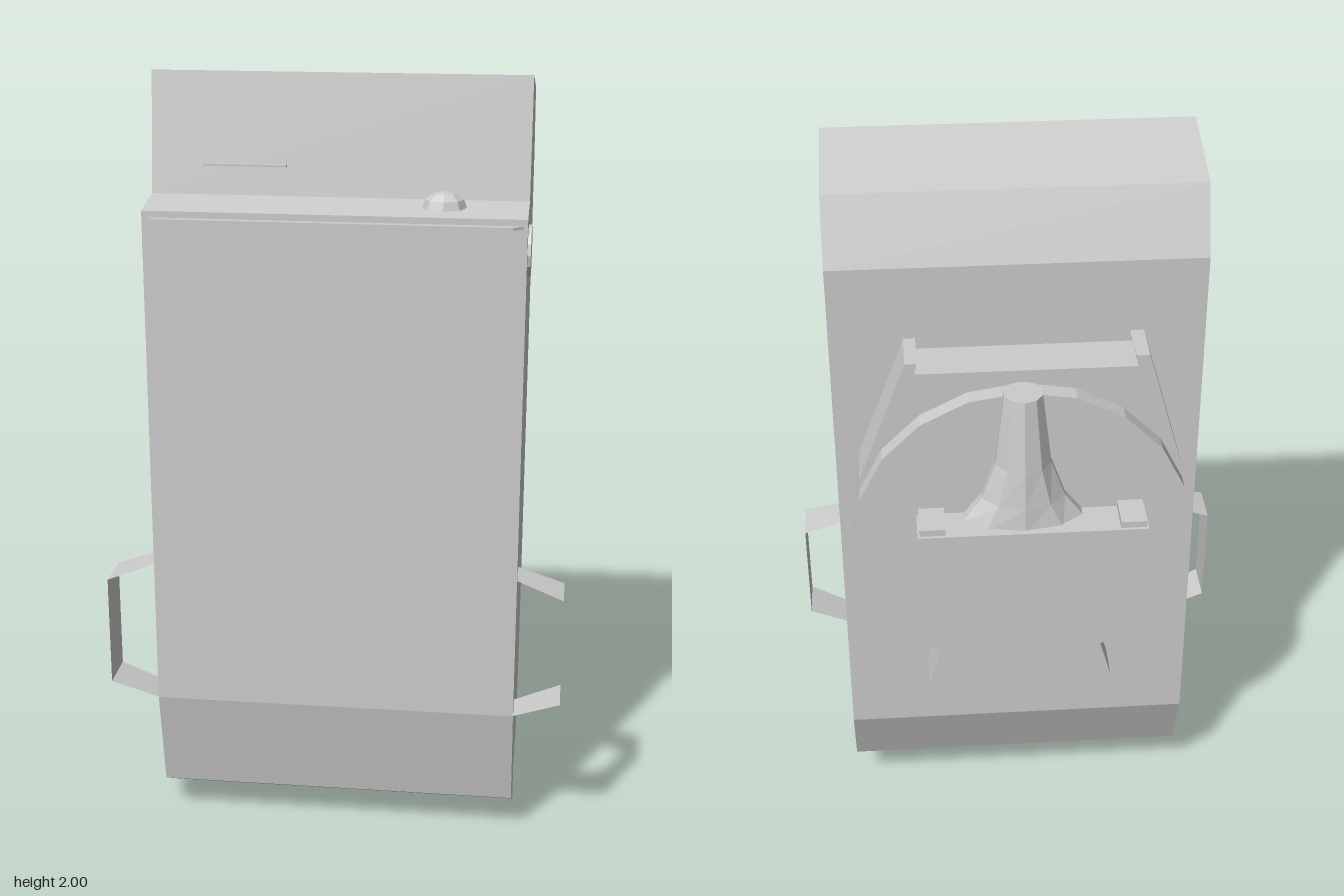
import * as THREE from 'three';

const mat = new THREE.MeshStandardMaterial({ color: 0xcccccc, flatShading: true });
const sheetMat = new THREE.MeshStandardMaterial({ color: 0xcccccc, flatShading: true, side: THREE.DoubleSide });

export function createModel() {
  const root = new THREE.Group();

  const add = (name, geo, x = 0, y = 0, z = 0, material = mat) => {
    const mesh = new THREE.Mesh(geo, material);
    mesh.name = name;
    mesh.position.set(x, y, z);
    root.add(mesh);
    return mesh;
  };
  const box = (name, x0, x1, y0, y1, z0, z1) =>
    add(name, new THREE.BoxGeometry(x1 - x0, y1 - y0, z1 - z0), (x0 + x1) / 2, (y0 + y1) / 2, (z0 + z1) / 2);
  const extrude = (points, depth) => new THREE.ExtrudeGeometry(
    new THREE.Shape(points.map(p => new THREE.Vector2(...p))), { depth, bevelEnabled: false });

  // Case: side profile in (z, y), extruded across the width
  const profile = [
    [0.2, 2], [-0.05, 1.94], [-0.115, 1.77], [-0.115, 0.32], [-0.04, 0.125], [0.135, 0.11],
    [0.135, 0], [0.31, 0.1], [0.365, 0.37], [0.365, 1.68], [0.24, 1.7],
  ];
  add('case', extrude(profile, 0.94).translate(0, 0, -0.47).rotateY(-Math.PI / 2));

  // Thin front lip with slanted ends, and the short fin above the shelf
  const lip = extrude([[-0.465, 0.36], [0.465, 0.36], [0.435, 0.385], [-0.435, 0.385]], 0.008);
  add('frontLip', lip.rotateX(Math.PI / 2), 0, 1.664, 0);
  box('slotFin', -0.34, -0.13, 1.772, 1.778, 0.22, 0.247);

  // Low dome button on the shelf
  const dome = new THREE.SphereGeometry(0.055, 8, 3, 0, Math.PI * 2, 0, Math.PI / 2).scale(1, 0.75, 0.9);
  add('shelfButton', dome, 0.265, 1.69, 0.29);

  // Side buttons and strap handles
  for (const s of [1, -1]) {
    const button = new THREE.CylinderGeometry(0.064, 0.064, 0.02, 14).rotateZ(Math.PI / 2);
    add('sideButton', button, s * 0.468, 1.585, 0.27);

    const path = [[0.47, 0.75, 0.362], [0.59, 0.71, 0.385], [0.59, 0.42, 0.385], [0.47, 0.37, 0.362]];
    const verts = path.flatMap(([x, y, z]) => [s * x, y, 0.265, s * x, y, z]);
    const index = [];
    for (let i = 0; i < 6; i += 2) {
      const quad = [i, i + 1, i + 2, i + 1, i + 3, i + 2];
      index.push(...(s > 0 ? quad : quad.reverse()));
    }
    const strap = new THREE.BufferGeometry();
    strap.setAttribute('position', new THREE.Float32BufferAttribute(verts, 3));
    strap.setIndex(index);
    strap.computeVertexNormals();
    add('sideHandle', strap, 0, 0, 0, sheetMat);
  }

  // Back drum
  const drum = new THREE.CylinderGeometry(0.432, 0.432, 0.17, 20).rotateX(Math.PI / 2);
  add('backDrum', drum, 0, 1.078, -0.2);

  // Bracket above the drum, flaring down to its sides, with raised corner ribs
  const bracket = [
    [-0.43, 1.12], [0.43, 1.12], [0.41, 1.24], [0.285, 1.575], [0.255, 1.575], [0.262, 1.545],
    [-0.287, 1.545], [-0.28, 1.575], [-0.315, 1.575], [-0.41, 1.24],
  ];
  add('upperBracket', extrude(bracket, 0.125), 0, 0, -0.238);

  // Curved block below the drum
  const block = [
    [-0.2, 0.72], [-0.25, 0.54], [-0.13, 0.514], [0, 0.505], [0.13, 0.514], [0.25, 0.54], [0.2, 0.72],
  ];
  add('lowerBracket', extrude(block, 0.107), 0, 0, -0.22);

  // Round lug on the lower side of the drum, pointing outwards
  const lug = new THREE.CylinderGeometry(0.082, 0.082, 0.16, 14);
  add('drumLug', lug, 0.295, 0.835, -0.118).rotation.z = -2.26;

  // Turning handle: stepped crossbar with end pads
  box('handleBar', -0.29, 0.25, 1.06, 1.125, -0.37, -0.28);
  box('handlePlate', -0.31, 0.27, 1.125, 1.16, -0.388, -0.28);
  box('handlePad', -0.305, -0.24, 1.16, 1.178, -0.38, -0.28);
  box('handlePad', 0.2, 0.265, 1.16, 1.178, -0.38, -0.28);

  // Stem: rows of (height, half width, half depth) from top to base
  const rows = [[1.512, 0.05, 0.05], [1.32, 0.073, 0.075], [1.22, 0.11, 0.084], [1.15, 0.165, 0.09]];
  const stem = new THREE.CylinderGeometry(1, 1, 3, 10, 3);
  const pos = stem.attributes.position;
  for (let i = 0; i < pos.count; i++) {
    const [y, w, d] = rows[Math.round(1.5 - pos.getY(i))];
    pos.setXYZ(i, pos.getX(i) * w, y, pos.getZ(i) * d);
  }
  stem.computeVertexNormals();
  add('handleStem', stem, 0, 0, -0.285);

  return root;
}
